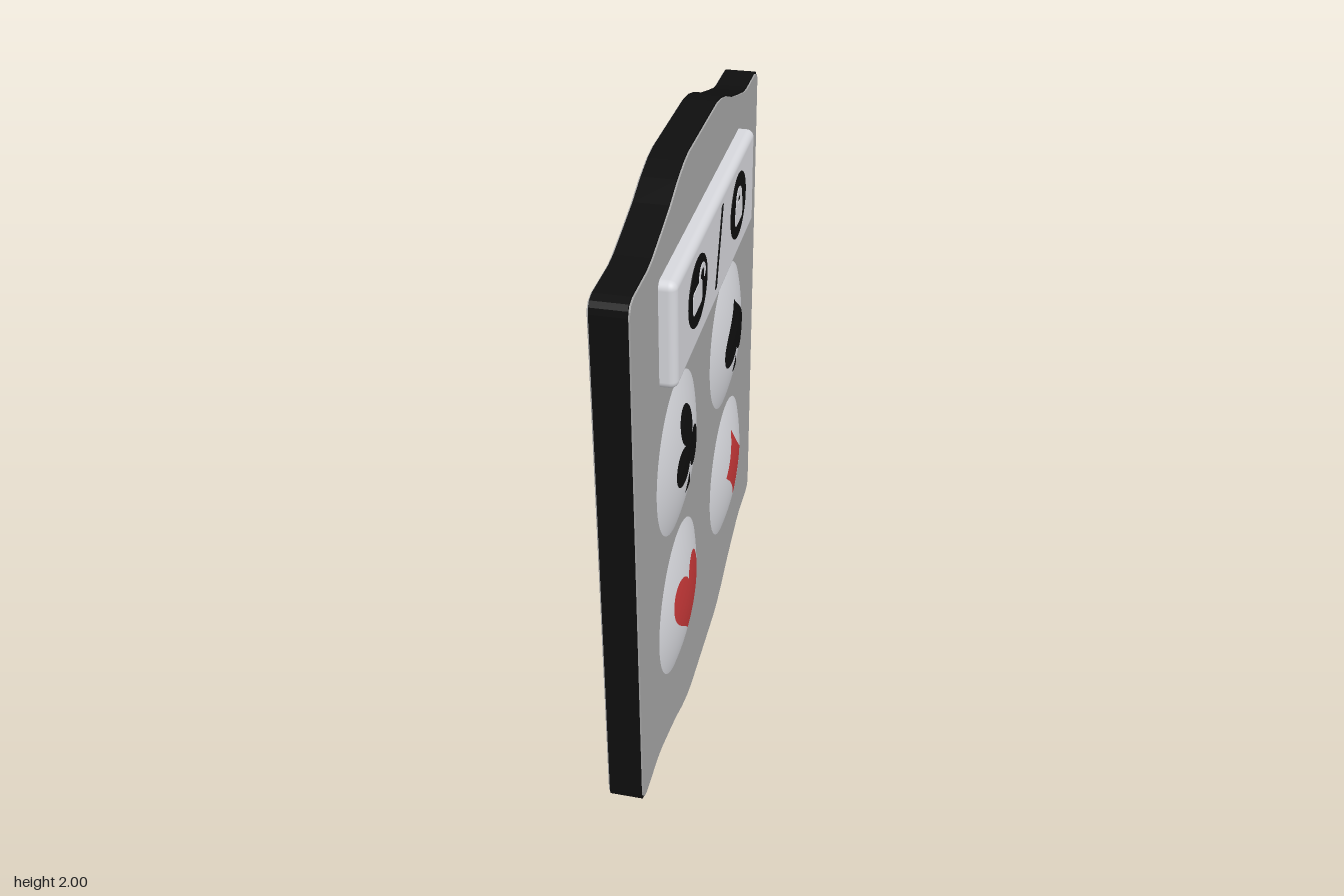
import * as THREE from 'three';
import { RoundedBoxGeometry } from 'three/addons/geometries/RoundedBoxGeometry.js';

const mat = (name, color) => Object.assign(new THREE.MeshStandardMaterial({ color }), { name });
const V = (x, y) => new THREE.Vector2(x, y);

// Spherical cap used by the buttons
const CAP_R = 0.252, CAP_H = 0.04, FACE = 0.03;
const SPHERE_R = (CAP_R ** 2 + CAP_H ** 2) / (2 * CAP_H);
const capHeight = (x, y) => FACE + CAP_H - SPHERE_R + Math.sqrt(SPHERE_R ** 2 - x * x - y * y);

// Star-shaped outline filled with rings and laid over a cap; points are relative to the button
function decal(points, cx, cy) {
  const pts = THREE.ShapeUtils.area(points) < 0 ? points.slice().reverse() : points;
  const n = pts.length, rings = 6, pos = [], idx = [];
  const lift = 0.003;
  pos.push(cx, cy, capHeight(cx, cy) + lift);
  for (let r = 1; r <= rings; r++) for (const p of pts) {
    const x = cx + (p.x - cx) * r / rings, y = cy + (p.y - cy) * r / rings;
    pos.push(x, y, capHeight(x, y) + lift);
  }
  for (let i = 0; i < n; i++) {
    const j = (i + 1) % n;
    idx.push(0, 1 + i, 1 + j);
    for (let r = 0; r < rings - 1; r++) {
      const a = 1 + r * n, b = a + n;
      idx.push(a + i, b + i, b + j, a + i, b + j, a + j);
    }
  }
  const g = new THREE.BufferGeometry();
  g.setAttribute('position', new THREE.Float32BufferAttribute(pos, 3));
  g.setIndex(idx);
  g.computeVertexNormals();
  return g;
}

const circle = (x, y, r) => Array.from({ length: 28 }, (_, i) => {
  const a = i / 28 * Math.PI * 2;
  return V(x + r * Math.cos(a), y + r * Math.sin(a));
});

// Right half of an outline as bezier pieces, mirrored to a closed outline
function mirrored(start, curves) {
  const path = new THREE.Path().moveTo(...start);
  curves.forEach(c => path.bezierCurveTo(...c));
  const half = path.getPoints(10);
  return half.concat(half.slice(1, -1).reverse().map(p => V(-p.x, p.y)));
}
const shift = (pts, dx, dy) => pts.map(p => V(p.x + dx, p.y + dy));

// Symmetric board outline with shaped top and bottom
function boardShape(inset) {
  const w = 0.86 - inset, s = 0.872 - inset, t = 1 - inset, c = 0.04;
  const q = [V(w, s - c), V(w - 0.003, s - 0.022), V(w - 0.014, s - 0.008), V(w - c, s), V(0.67, s),
    V(0.62, s + 0.007), V(0.52, s + 0.034), V(0.42, s + 0.063), V(0.33, s + 0.098), V(0.25, t - 0.008), V(0.19, t)];
  const top = q.concat(q.slice().reverse().map(p => V(-p.x, p.y)));
  const all = top.concat(top.slice().reverse().map(p => V(p.x, -p.y)));
  return new THREE.Shape(shift(all, 0, 1));
}

export function createModel() {
  const grey = mat('panelGrey', 0xa6a6a6), black = mat('black', 0x0e0e0e);
  const white = mat('buttonWhite', 0xd6d7dc), red = mat('red', 0xc43737);
  const model = new THREE.Group();
  model.name = 'controlPanel';
  // The panel is laid out facing +z, then turned to face +x
  const panel = new THREE.Group();
  panel.name = 'panel';
  panel.rotation.y = Math.PI / 2;
  model.add(panel);
  const add = (name, geometry, material, parent = panel) => {
    const m = new THREE.Mesh(geometry, material);
    m.name = name;
    parent.add(m);
    return m;
  };
  const extrude = (shape, depth, z) => new THREE.ExtrudeGeometry(shape,
    { depth, bevelEnabled: false, curveSegments: 20 }).translate(0, 0, z);

  // Board: black rim with grey faces
  add('boardRim', extrude(boardShape(0), 0.1, -0.075), black);
  add('boardFront', extrude(boardShape(0.006), 0.005, 0.025), grey);
  add('boardBack', extrude(boardShape(0.006), 0.005, -0.08), grey);

  // Wide lock button
  add('lockButton', new RoundedBoxGeometry(1.12, 0.33, 0.08, 4, 0.025).translate(-0.015, 1.62, 0.04), white);
  const plate = (name, shape, material, z) => add(name, extrude(shape, 0.002, z), material);
  const ellipse = (x, y, rx, ry) => new THREE.Shape().absellipse(x, y, rx, ry, 0, Math.PI * 2);
  plate('openLockDisc', ellipse(-0.315, 1.633, 0.122, 0.103), black, 0.08);
  plate('closedLockDisc', ellipse(0.272, 1.633, 0.12, 0.105), black, 0.08);
  plate('slash', new THREE.Shape([V(-0.076, 1.512), V(-0.056, 1.512), V(0.034, 1.744), V(0.014, 1.744)]), black, 0.08);

  const lockBody = (x, y, w, h) => {
    const s = new THREE.Shape(), r = 0.015;
    s.absarc(x + w - r, y + r, r, -Math.PI / 2, 0);
    s.absarc(x + w - r, y + h - r, r, 0, Math.PI / 2);
    s.absarc(x + r, y + h - r, r, Math.PI / 2, Math.PI);
    s.absarc(x + r, y + r, r, Math.PI, Math.PI * 1.5);
    return s;
  };
  const shackle = (x, y, ro, ri, leg) => {
    const s = new THREE.Shape().moveTo(x + ro, y - leg);
    s.absarc(x, y, ro, 0, Math.PI);
    s.lineTo(x - ro, y - leg).lineTo(x - ri, y - leg);
    s.absarc(x, y, ri, Math.PI, 0, true);
    s.lineTo(x + ri, y - leg);
    return s;
  };
  plate('openLockBody', lockBody(-0.385, 1.583, 0.112, 0.072), white, 0.082);
  plate('openShackle', shackle(-0.268, 1.655, 0.042, 0.026, 0.012), white, 0.082);
  plate('closedLockBody', lockBody(0.218, 1.577, 0.108, 0.07), white, 0.082);
  plate('closedShackle', shackle(0.272, 1.65, 0.045, 0.018, 0.02), white, 0.082);

  // Round domed buttons with suit symbols
  const spade = mirrored([0, 0.15], [
    [0.03, 0.1, 0.138, 0.06, 0.138, -0.005], [0.138, -0.075, 0.05, -0.09, 0, -0.035]]);
  const heart = mirrored([0, 0.085], [
    [0.035, 0.15, 0.143, 0.145, 0.143, 0.05], [0.143, -0.01, 0.05, -0.06, 0, -0.117]]);
  const diamond = mirrored([0, 0.14], [
    [0.03, 0.08, 0.06, 0.04, 0.109, 0], [0.06, -0.04, 0.03, -0.08, 0, -0.14]]);
  const stem = (x, y) => [V(x, y), V(x + 0.012, y - 0.025), V(x + 0.03, y - 0.06),
    V(x, y - 0.066), V(x - 0.03, y - 0.06), V(x - 0.012, y - 0.025)];
  const leaf = (x, y, r) => ({ pts: circle(x, y, r), c: [x, y] });
  const foot = (x, y) => ({ pts: stem(x, y), c: [x, y - 0.04] });

  const buttons = [
    { name: 'club', at: [-0.375, 1.115], color: black, parts: [
      leaf(-0.012, 0.112, 0.063), leaf(-0.072, 0.002, 0.063), leaf(0.05, 0.002, 0.063),
      leaf(-0.012, 0.035, 0.045), foot(-0.009, -0.056)] },
    { name: 'spade', at: [0.345, 1.115], color: black, parts: [
      { pts: shift(spade, -0.008, 0), c: [-0.008, 0.01] }, foot(-0.008, -0.06)] },
    { name: 'heart', at: [-0.375, 0.565], color: red, parts: [
      { pts: shift(heart, -0.014, 0), c: [-0.014, 0.03] }] },
    { name: 'diamond', at: [0.36, 0.568], color: red, parts: [
      { pts: shift(diamond, -0.016, 0.03), c: [-0.016, 0.03] }] },
  ];
  for (const b of buttons) {
    const group = new THREE.Group();
    group.name = b.name + 'Button';
    group.position.set(...b.at, 0);
    panel.add(group);
    const cap = new THREE.SphereGeometry(SPHERE_R, 56, 12, 0, Math.PI * 2, 0, Math.asin(CAP_R / SPHERE_R));
    cap.rotateX(Math.PI / 2).translate(0, 0, FACE + CAP_H - SPHERE_R);
    add(b.name + 'Dome', cap, white, group);
    b.parts.forEach((p, i) => add(b.name + 'Symbol' + (i + 1), decal(p.pts, ...p.c), b.color, group));
  }
  // Centre the board thickness and projecting buttons as one body
  return model;
}
